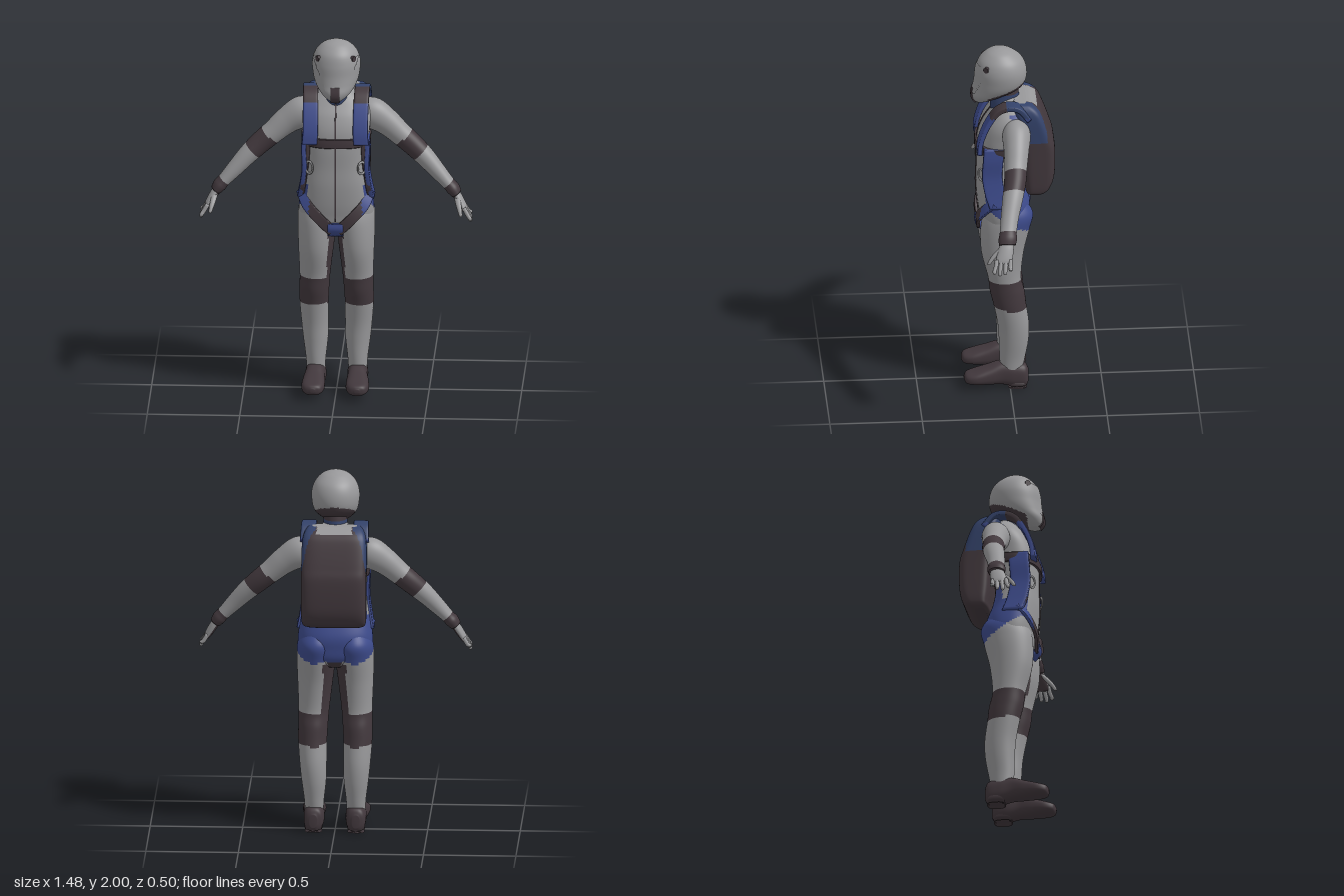
import * as THREE from 'three';

const flat = (name, color) => Object.assign(new THREE.MeshStandardMaterial({ color }), { name });
const GREY = 0, DARK = 1, BLUE = 2, NAVY = 3;

export function createModel() {
  const root = new THREE.Group();
  root.name = 'jumper';
  const mats = [flat('suit grey', 0x98989a), flat('charcoal', 0x42383d),
    flat('harness blue', 0x3d4b8c), flat('navy', 0x33426a)];

  // Sweeps a superellipse through sections [x, y, z, ru, rv]; v is the fixed
  // cross direction. paint(|x|, y, z) gives a colour index, or -1 for no face.
  function loft(name, sections, paint, { s = 1, n = 48, k = 8, e = 2, v = [0, 0, 1] } = {}) {
    const curve = (pts) => new THREE.CatmullRomCurve3(pts, false, 'catmullrom', 0.5);
    const path = curve(sections.map((p) => new THREE.Vector3(p[0] * s, p[1], p[2])));
    const size = curve(sections.map((p) => new THREE.Vector3(p[3], p[4], 0)));
    const steps = (sections.length - 1) * k;
    const V = new THREE.Vector3(v[0] * s, v[1], v[2]).normalize();
    if (v[0] && !v[1] && !v[2]) V.x = 1;
    const pos = [], pt = [];
    const put = (p) => { pt.push(p); pos.push(p.x, p.y, p.z); };
    const pw = (c) => Math.sign(c) * Math.abs(c) ** (2 / e);
    for (let j = 0; j <= steps; j++) {
      const c = path.getPoint(j / steps), r = size.getPoint(j / steps);
      const U = path.getTangent(j / steps).cross(V).normalize();
      for (let i = 0; i < n; i++) {
        const a = (i / n) * Math.PI * 2;
        put(c.clone().addScaledVector(U, r.x * pw(Math.cos(a))).addScaledVector(V, r.y * pw(Math.sin(a))));
      }
    }
    put(path.getPoint(0));
    put(path.getPoint(1));
    const buckets = mats.map(() => []);
    const face = (...ids) => {
      const m = ids.reduce((q, i) => q.add(pt[i]), new THREE.Vector3()).divideScalar(ids.length);
      const c = typeof paint === 'number' ? paint : paint(Math.abs(m.x), m.y, m.z);
      if (c < 0) return;
      for (let i = 2; i < ids.length; i++) buckets[c].push(ids[0], ids[i - 1], ids[i]);
    };
    const last = steps * n, end = last + n;
    for (let i = 0; i < n; i++) {
      const i2 = (i + 1) % n;
      for (let j = 0; j < steps; j++) face(j * n + i, (j + 1) * n + i, (j + 1) * n + i2, j * n + i2);
      face(end, i, i2);
      face(end + 1, last + i2, last + i);
    }
    const g = new THREE.BufferGeometry();
    g.setAttribute('position', new THREE.Float32BufferAttribute(pos, 3));
    g.setIndex(buckets.flat());
    let start = 0;
    buckets.forEach((b, i) => { if (b.length) g.addGroup(start, b.length, i); start += b.length; });
    g.computeVertexNormals();
    const mesh = new THREE.Mesh(g, mats);
    mesh.name = name;
    root.add(mesh);
  }
  // Rows [y, half width, front z, back z] become upright sections
  const upright = (rows, grow = 0) => rows.map(([y, w, f, b]) => [0, y, (f + b) / 2, w + grow, (f - b) / 2 + grow]);
  // Flat strap along points, width across v
  const strap = (name, pts, width, thick, paint, v, s = 1) =>
    loft(name, pts.map((p) => [...p, thick / 2, width / 2]), paint, { s, v, n: 24, k: 6, e: 6 });

  // Torso with harness seat and back panel
  const seat = (y, z) => y < 1.2 && z < 0.135 && y > 1.02 + 0.65 * z;
  loft('torso', upright([[0.92, 0.12, 0.11, -0.06], [0.97, 0.19, 0.15, -0.1], [1.03, 0.203, 0.162, -0.11],
    [1.1, 0.2, 0.172, -0.11], [1.2, 0.183, 0.178, -0.075], [1.3, 0.168, 0.175, -0.06], [1.4, 0.17, 0.175, -0.08],
    [1.5, 0.18, 0.168, -0.1], [1.58, 0.185, 0.14, -0.11], [1.64, 0.165, 0.1, -0.11], [1.69, 0.1, 0.065, -0.09],
    [1.72, 0.06, 0.045, -0.06]]), (x, y, z) => {
    if (seat(y, z)) return BLUE;
    if (y < 0.96 && x < 0.04) return DARK;
    if (y > 1.2 && y < 1.66 && z < 0) return x < 0.11 && y < 1.5 ? DARK : BLUE;
    return GREY;
  }, { n: 72, e: 2.4 });
  strap('zipper', [[0, 1.0, 0.163], [0, 1.1, 0.174], [0, 1.2, 0.18], [0, 1.3, 0.177], [0, 1.4, 0.177], [0, 1.5, 0.17],
    [0, 1.58, 0.142], [0, 1.64, 0.102], [0, 1.68, 0.074]], 0.008, 0.006, DARK, [1, 0, 0]);
  loft('chestStrap', upright([[1.42, 0.173, 0.177, -0.08], [1.445, 0.178, 0.177, -0.085], [1.47, 0.18, 0.175, -0.09]], 0.009),
    DARK, { n: 72, e: 2.4 });
  loft('neck', upright([[1.64, 0.08, 0.1, -0.08], [1.7, 0.068, 0.1, -0.06], [1.76, 0.062, 0.085, -0.05], [1.82, 0.06, 0.08, -0.04]]),
    (x, y) => (y > 1.74 ? DARK : NAVY));

  // Helmet, visor shell and vents
  const helmet = [[1.685, 0.03, 0.185, 0.12], [1.705, 0.06, 0.198, 0.07], [1.735, 0.09, 0.202, 0.01],
    [1.775, 0.115, 0.192, -0.065], [1.82, 0.127, 0.184, -0.094], [1.88, 0.13, 0.178, -0.096],
    [1.935, 0.113, 0.162, -0.075], [1.975, 0.078, 0.125, -0.03], [1.993, 0.042, 0.09, 0.01], [2.0, 0.004, 0.055, 0.045]];
  loft('helmet', upright(helmet), (x, y, z) => (z < 0.12 && y < 1.785 - 0.42 * z ? DARK : GREY), { n: 64 });
  loft('visor', upright(helmet, 0.005), (x, y, z) =>
    (z > 0.06 && y > 1.75 && y < 1.92 && x < 0.05 + (y - 1.75) * 0.45 ? GREY : -1), { n: 96 });
  strap('chinVent', [[0, 1.77, 0.192], [0, 1.735, 0.2], [0, 1.71, 0.197], [0, 1.685, 0.18]], 0.05, 0.014, DARK, [1, 0, 0]);

  // Backpack
  loft('backpack', upright([[1.17, 0.14, -0.1, -0.16], [1.185, 0.165, -0.085, -0.19], [1.215, 0.174, -0.08, -0.22],
    [1.29, 0.176, -0.07, -0.243], [1.44, 0.176, -0.06, -0.245], [1.52, 0.176, -0.05, -0.225], [1.63, 0.174, -0.03, -0.185],
    [1.68, 0.165, -0.02, -0.158], [1.71, 0.145, -0.02, -0.12], [1.718, 0.12, -0.03, -0.09]]), (x, y, z) => {
    if (y > 1.665 && x < 0.095 && z > -0.15) return GREY;
    return y > 1.5 && z > -0.2 && x > 0.1 + Math.max(0, -0.12 - z) * 0.8 ? NAVY : DARK;
  }, { n: 80, e: 5 });

  for (const s of [1, -1]) {
    const side = s > 0 ? 'left' : 'right';
    // Harness straps, side panels and handles
    strap(side + 'ShoulderStrap', [[0.145, 1.64, -0.1], [0.142, 1.7, -0.05], [0.14, 1.712, 0.01], [0.138, 1.69, 0.065],
      [0.136, 1.64, 0.105], [0.135, 1.57, 0.14], [0.135, 1.5, 0.162], [0.14, 1.44, 0.168]], 0.082, 0.03,
    (x, y, z) => (y > 1.655 && z > 0.02 ? DARK : y > 1.655 ? NAVY : BLUE), [1, 0, 0], s);
    strap(side + 'SidePanel', [[0.168, 1.47, 0.09], [0.172, 1.4, 0.095], [0.168, 1.3, 0.1], [0.18, 1.2, 0.085], [0.195, 1.12, 0.06]],
      0.11, 0.03, BLUE, [0, 0, 1], s);
    strap(side + 'SideStrap', [[0.15, 1.44, 0.13], [0.158, 1.33, 0.135], [0.175, 1.2, 0.125], [0.185, 1.14, 0.105]],
      0.03, 0.03, DARK, [0, 0, 1], s);
    strap(side + 'LegStrap', [[0.19, 1.16, 0.085], [0.155, 1.09, 0.142], [0.09, 1.02, 0.172], [0.015, 0.945, 0.165]],
      0.058, 0.02, (x) => (x > 0.14 ? BLUE : DARK), [0.7, -0.7, 0], s);
    const ring = new THREE.Mesh(new THREE.TorusGeometry(0.024, 0.005, 8, 24), mats[GREY]);
    ring.name = side + 'Handle';
    ring.position.set(s * 0.142, 1.305, 0.158);
    ring.scale.y = 1.4;
    ring.rotation.y = s * 0.6;
    root.add(ring);
    const pivot = new THREE.Mesh(new THREE.CylinderGeometry(0.016, 0.016, 0.02, 20), mats[DARK]);
    pivot.name = side + 'VisorPivot';
    pivot.position.set(s * 0.093, 1.915, 0.125);
    pivot.rotation.set(0, -s * 0.6, Math.PI / 2);
    root.add(pivot);

    // Leg with knee patch and inner panel
    loft(side + 'Leg', [[0.1, 1.13, 0.02, 0.06, 0.09], [0.102, 1.05, 0.008, 0.1, 0.132], [0.104, 0.96, 0.025, 0.105, 0.133],
      [0.11, 0.82, 0.04, 0.095, 0.115], [0.116, 0.67, 0.03, 0.083, 0.09], [0.12, 0.58, 0.015, 0.08, 0.093],
      [0.122, 0.5, 0.001, 0.078, 0.088], [0.118, 0.38, -0.018, 0.073, 0.085], [0.114, 0.28, -0.02, 0.067, 0.08],
      [0.113, 0.18, -0.013, 0.055, 0.07], [0.113, 0.11, -0.008, 0.05, 0.06]].reverse(), (x, y, z) => {
      if (seat(y, z)) return BLUE;
      if (y > 0.49 + 0.12 * z && y < 0.655) return DARK;
      return y > 0.6 && y < 0.95 && x < 0.045 + (0.8 - y) * 0.05 + (z < 0 ? 0.022 : 0) ? DARK : GREY;
    }, { s });

    // Shoe and heel
    loft(side + 'Shoe', [[0.115, 0.065, -0.1, 0.02, 0.035], [0.115, 0.07, -0.08, 0.048, 0.064], [0.113, 0.077, -0.02, 0.056, 0.072],
      [0.115, 0.085, 0.05, 0.053, 0.066], [0.118, 0.075, 0.12, 0.06, 0.052], [0.12, 0.066, 0.19, 0.062, 0.038],
      [0.12, 0.062, 0.235, 0.045, 0.028], [0.12, 0.062, 0.25, 0.012, 0.01]], DARK, { s, v: [0, 1, 0], e: 2.5 });
    loft(side + 'Heel', [[0.115, 0, -0.04, 0.046, 0.05], [0.115, 0.05, -0.04, 0.05, 0.055]], DARK, { s, k: 2, e: 3 });

    // Arm with elbow patch and wrist cuff
    loft(side + 'Arm', [[0.12, 1.585, -0.03, 0.06, 0.06], [0.19, 1.56, -0.03, 0.085, 0.076], [0.27, 1.51, -0.025, 0.073, 0.068],
      [0.34, 1.45, -0.017, 0.063, 0.062], [0.41, 1.39, -0.008, 0.059, 0.06], [0.48, 1.325, 0.01, 0.053, 0.056],
      [0.55, 1.25, 0.03, 0.044, 0.049], [0.605, 1.19, 0.042, 0.036, 0.046], [0.63, 1.162, 0.046, 0.037, 0.05],
      [0.65, 1.135, 0.05, 0.03, 0.045]], (x, y) => {
      const d = x - y;
      return (d > -1.07 && d < -0.9) || d > -0.585 ? DARK : GREY;
    }, { s });

    // Hand, fingers and thumb
    loft(side + 'Palm', [[0.635, 1.155, 0.048, 0.02, 0.033], [0.66, 1.115, 0.058, 0.023, 0.042], [0.69, 1.065, 0.07, 0.019, 0.045],
      [0.7, 1.045, 0.073, 0.012, 0.04]], (x, y) => (x < 0.652 + (1.115 - y) * 0.62 ? DARK : GREY), { s, n: 32 });
    for (let i = 0; i < 4; i++) {
      const z = 0.037 + i * 0.024, drop = [0.03, 0.006, 0, 0.012][i], out = 0.005 * i;
      loft(side + 'Finger' + (i + 1), [[0.692, 1.07, z, 0.012, 0.012], [0.712, 1.035, z + out / 2, 0.012, 0.012],
        [0.724, 1.012 + drop / 2, z + out, 0.011, 0.011], [0.729, 0.996 + drop, z + out, 0.009, 0.009],
        [0.731, 0.991 + drop, z + out, 0.003, 0.003]], GREY, { s, n: 14, k: 4 });
    }
    loft(side + 'Thumb', [[0.652, 1.125, 0.075, 0.016, 0.016], [0.663, 1.09, 0.112, 0.015, 0.017], [0.672, 1.06, 0.138, 0.012, 0.013],
      [0.677, 1.04, 0.15, 0.009, 0.01], [0.678, 1.034, 0.153, 0.003, 0.003]], GREY, { s, n: 14, k: 4 });
  }
  // Crotch pad
  strap('crotchPad', [[0, 0.99, 0.168], [0, 0.955, 0.17], [0, 0.92, 0.14]], 0.085, 0.026, BLUE, [1, 0, 0]);
  return root;
}
